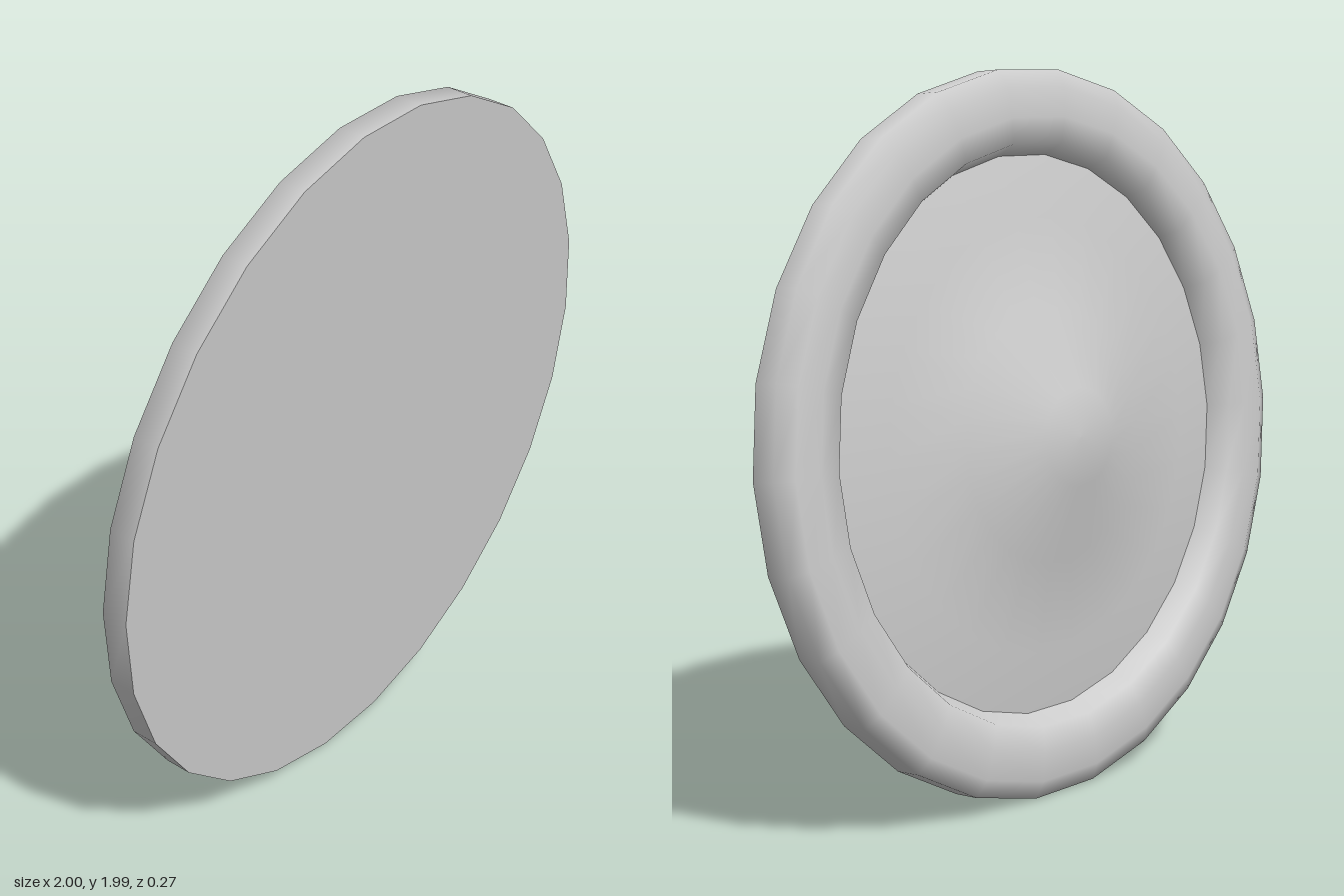
import * as THREE from 'three';

const SIDES = 26;
const TILT = 0.067;

export function createModel() {
  const model = new THREE.Group();
  model.name = 'dishedDisc';
  const material = new THREE.MeshStandardMaterial({ color: 0xcccccc });

  // Revolve [radius, depth] pairs; depth grows from the front towards the back.
  function turn(name, profile) {
    const points = profile.map(([r, d]) => new THREE.Vector2(r, d));
    const geometry = new THREE.LatheGeometry(points, SIDES, Math.PI / 2);
    geometry.rotateX(-Math.PI / 2);
    const mesh = new THREE.Mesh(geometry, material);
    mesh.name = name;
    disc.add(mesh);
  }

  // The whole disc leans slightly forward
  const disc = new THREE.Group();
  disc.name = 'disc';
  disc.rotation.x = TILT;
  disc.position.set(0, 0.99, 0.067);
  model.add(disc);

  // Flat front face
  turn('frontFace', [[0, 0], [1, 0]]);

  // Raised rounded rim around the back
  turn('rim', [[1, 0], [1, 0.075], [0.95, 0.1], [0.87, 0.104], [0.8, 0.095], [0.77, 0.035]]);

  // Dished back rising to a blunt central hub
  turn('backDish', [[0.77, 0.035], [0.6, 0.066], [0.35, 0.1], [0.135, 0.193], [0, 0.197]]);

  return model;
}
